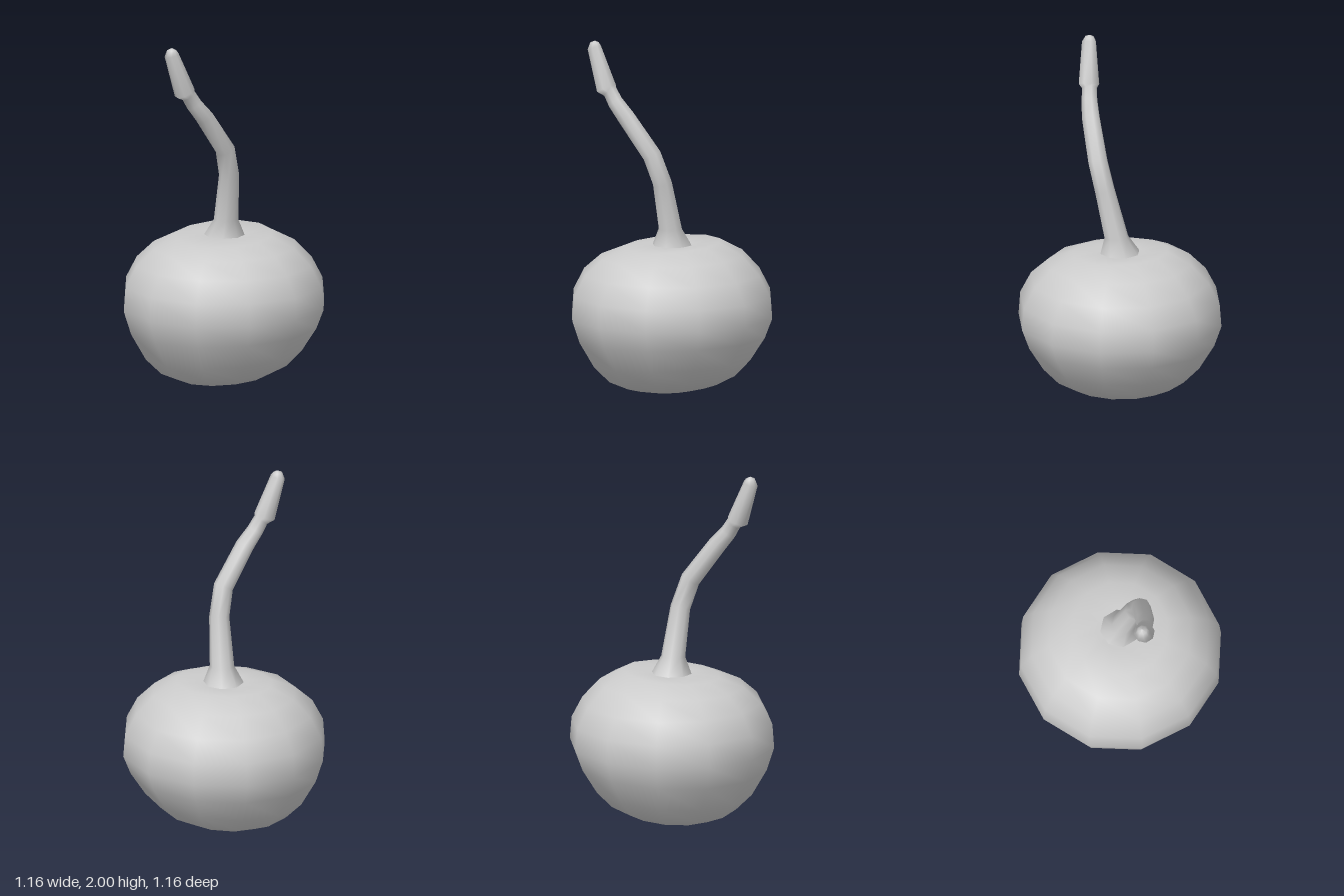
import * as THREE from 'three';

const material = new THREE.MeshStandardMaterial({ color: 0xcccccc });

// Twelve-sided round body, its crown and underside slightly tilted
function createBody() {
  const profile = [
    [0, 0.012], [0.13, 0.012], [0.255, 0.037], [0.365, 0.088], [0.455, 0.18],
    [0.54, 0.32], [0.582, 0.44], [0.572, 0.57], [0.51, 0.69], [0.41, 0.788],
    [0.275, 0.85], [0.13, 0.848], [0, 0.842],
  ].map(([r, y]) => new THREE.Vector2(r, y));
  const geometry = new THREE.LatheGeometry(profile, 12);
  const pos = geometry.attributes.position;
  for (let i = 0; i < pos.count; i++) {
    const x = pos.getX(i), y = pos.getY(i), z = pos.getZ(i);
    const low = THREE.MathUtils.clamp((0.5 - y) / 0.35, 0, 1);
    const high = THREE.MathUtils.clamp((y - 0.76) / 0.08, 0, 1);
    const r = Math.hypot(x, z);
    const crown = r > 0.2 ? high * 0.055 : 0;
    pos.setY(i, y + 0.07 * low * x + crown * (x - z));
  }
  const mesh = new THREE.Mesh(geometry, material);
  mesh.name = 'body';
  return mesh;
}

// Bent eight-sided stem: flared foot, narrowing shaft, thicker end piece
function createStem() {
  const sides = 8;
  const rings = [ // x, y, z, radius
    [0.002, 0.845, 0, 0.115], [0.007, 0.94, 0.02, 0.069], [0.008, 1.21, 0.085, 0.057],
    [-0.027, 1.37, 0.132, 0.056], [-0.165, 1.58, 0.2, 0.052], [-0.23, 1.66, 0.22, 0.046],
    [-0.265, 1.718, 0.227, 0.043], [-0.288, 1.735, 0.234, 0.06],
    [-0.368, 1.96, 0.25, 0.041], [-0.367, 1.988, 0.248, 0.026], [-0.366, 2, 0.247, 0],
  ];
  const centres = rings.map(([x, y, z]) => new THREE.Vector3(x, y, z));
  const up = new THREE.Vector3(0, 1, 0);
  const positions = [], index = [];
  rings.forEach(([, , , radius], i) => {
    const tangent = up.clone();
    if (i > 1 && i < rings.length - 2) {
      tangent.subVectors(centres[i + 1], centres[i - 1]).normalize();
    }
    const turn = new THREE.Quaternion().setFromUnitVectors(up, tangent);
    for (let j = 0; j < sides; j++) {
      const a = THREE.MathUtils.degToRad(18 + j * 360 / sides);
      const p = new THREE.Vector3(Math.cos(a) * radius, 0, Math.sin(a) * radius);
      positions.push(...p.applyQuaternion(turn).add(centres[i]).toArray());
      if (i === rings.length - 1) continue;
      const k = (j + 1) % sides;
      const p0 = i * sides + j, p1 = i * sides + k;
      index.push(p0, p0 + sides, p1, p1, p0 + sides, p1 + sides);
    }
  });
  const geometry = new THREE.BufferGeometry();
  geometry.setAttribute('position', new THREE.Float32BufferAttribute(positions, 3));
  geometry.setIndex(index);
  geometry.computeVertexNormals();
  const mesh = new THREE.Mesh(geometry, material);
  mesh.name = 'stem';
  return mesh;
}

export function createModel() {
  const group = new THREE.Group();
  group.name = 'cherry';
  group.add(createBody(), createStem());
  return group;
}
